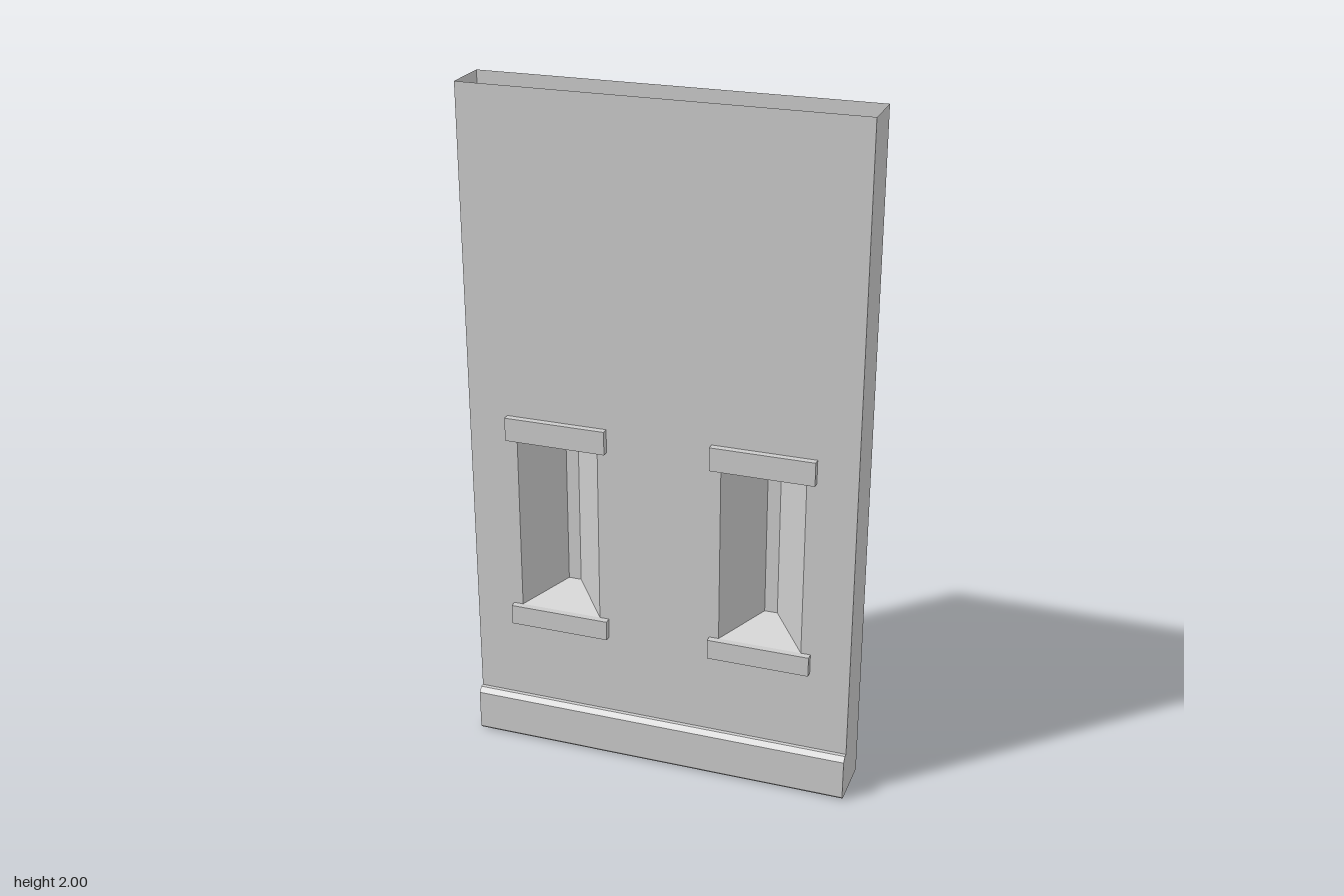
import * as THREE from 'three';

const W = 0.57, H = 2, FRONT = 0.058, BACK = -0.083;
const WIN_X = 0.304, WIN_HALF = 0.122, WIN_Y0 = 0.45, WIN_Y1 = 0.985;

const shell = new THREE.MeshStandardMaterial({ color: 0xcccccc, side: THREE.DoubleSide });
const solid = new THREE.MeshStandardMaterial({ color: 0xcccccc });

function add(parent, name, geometry, material, x = 0, y = 0, z = 0) {
  const mesh = new THREE.Mesh(geometry, material);
  mesh.name = name;
  mesh.position.set(x, y, z);
  parent.add(mesh);
  return mesh;
}

// Rectangle corners, counter-clockwise seen from the front
const rect = (half, y0, y1, z) =>
  [[-half, y0, z], [half, y0, z], [half, y1, z], [-half, y1, z]];

// Tapered niche: four splayed sides and a narrow back slit
function nicheGeometry() {
  const outer = rect(WIN_HALF, WIN_Y0, WIN_Y1, FRONT);
  const inner = rect(0.019, 0.5, 0.935, -0.055);
  const points = [];
  const quad = (a, b, c, d) => points.push(...a, ...b, ...c, ...a, ...c, ...d);
  for (let i = 0; i < 4; i++) {
    const j = (i + 1) % 4;
    quad(outer[i], outer[j], inner[j], inner[i]);
  }
  quad(...inner);
  const geometry = new THREE.BufferGeometry();
  geometry.setAttribute('position', new THREE.Float32BufferAttribute(points, 3));
  geometry.computeVertexNormals();
  return geometry;
}

export function createModel() {
  const model = new THREE.Group();
  model.name = 'wallSection';

  // Front panel with two window openings
  const panel = new THREE.Shape([
    new THREE.Vector2(-W, 0), new THREE.Vector2(W, 0),
    new THREE.Vector2(W, H), new THREE.Vector2(-W, H),
  ]);
  for (const side of [-1, 1]) {
    const hole = rect(WIN_HALF, WIN_Y0, WIN_Y1, 0)
      .map(([x, y]) => new THREE.Vector2(x + side * WIN_X, y));
    panel.holes.push(new THREE.Path(hole.reverse()));
  }
  add(model, 'frontPanel', new THREE.ShapeGeometry(panel), shell, 0, 0, FRONT);

  // Back and side panels; top and bottom stay open
  add(model, 'backPanel', new THREE.PlaneGeometry(2 * W, H), shell, 0, H / 2, BACK).rotation.y = Math.PI;
  for (const side of [-1, 1]) {
    add(model, side > 0 ? 'leftPanel' : 'rightPanel', new THREE.PlaneGeometry(FRONT - BACK, H),
      shell, side * W, H / 2, (FRONT + BACK) / 2).rotation.y = side * Math.PI / 2;
  }

  // Windows: niche, lintel and sill
  for (const side of [-1, 1]) {
    const win = new THREE.Group();
    win.name = side > 0 ? 'leftWindow' : 'rightWindow';
    win.position.x = side * WIN_X;
    add(win, 'niche', nicheGeometry(), shell);
    add(win, 'lintel', new THREE.BoxGeometry(0.3, 0.07, 0.02), solid, 0, 1.02, FRONT + 0.01);
    add(win, 'sill', new THREE.BoxGeometry(0.3, 0.06, 0.02), solid, 0, 0.42, FRONT + 0.01);
    model.add(win);
  }

  // Bevelled base trim, profile (z, y) swept along the width
  const profile = new THREE.Shape([
    [FRONT, 0], [0.074, 0], [0.083, 0.009], [0.083, 0.128], [0.07, 0.142], [FRONT, 0.142],
  ].map(([z, y]) => new THREE.Vector2(z, y)));
  const trim = new THREE.ExtrudeGeometry(profile, { depth: 2 * W, bevelEnabled: false });
  trim.rotateY(-Math.PI / 2).translate(W, 0, 0);
  add(model, 'baseTrim', trim, solid);

  return model;
}
